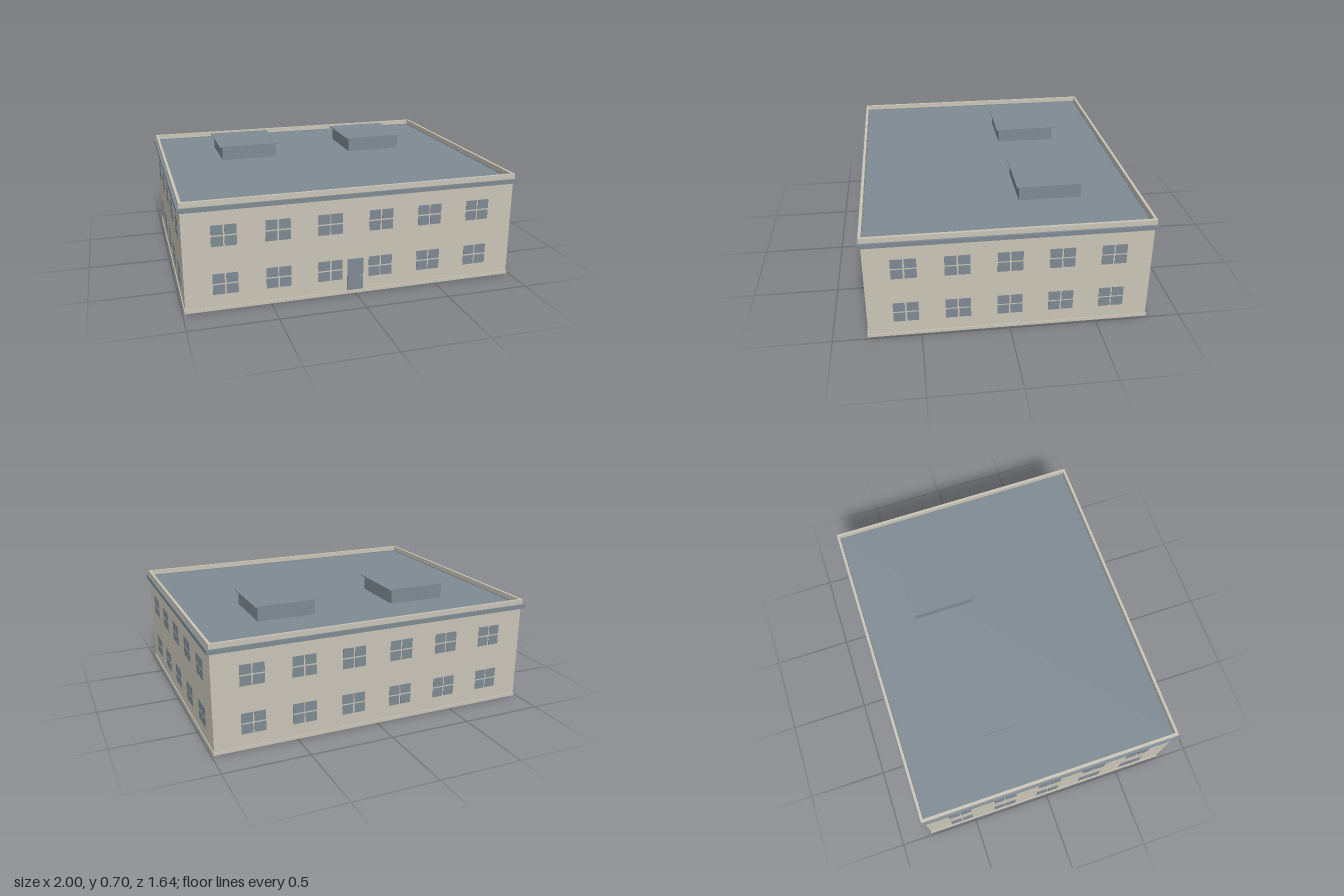
import * as THREE from 'three';

const wallMat = new THREE.MeshStandardMaterial({ name: 'beige wall', color: 0xcac5b7 });
const greyMat = new THREE.MeshStandardMaterial({ name: 'slate grey', color: 0x7f8a93 });

// Box given by its centre x and z, the height of its underside, and its size
function box(parent, name, mat, x, y, z, w, h, d) {
  const mesh = new THREE.Mesh(new THREE.BoxGeometry(w, h, d), mat);
  mesh.position.set(x, y + h / 2, z);
  mesh.name = name;
  parent.add(mesh);
  return mesh;
}

// Rectangular ring with outer half sizes (x, z) and thickness t
function ring(parent, name, mat, x, z, t, y, h) {
  const rect = (P, a, b) => new P().moveTo(-a, -b).lineTo(a, -b).lineTo(a, b).lineTo(-a, b).closePath();
  const shape = rect(THREE.Shape, x, z);
  shape.holes.push(rect(THREE.Path, x - t, z - t));
  const geo = new THREE.ExtrudeGeometry(shape, { depth: h, bevelEnabled: false });
  geo.rotateX(-Math.PI / 2);
  const mesh = new THREE.Mesh(geo, mat);
  mesh.position.y = y;
  mesh.name = name;
  parent.add(mesh);
}

// Four panes separated by a cross of bare wall
function addWindow(facade, x, y) {
  const win = new THREE.Group();
  win.name = 'window';
  const bar = 0.009, w = 0.142, h = 0.122;
  const pw = (w - bar) / 2, ph = (h - bar) / 2;
  for (const sx of [-1, 1]) {
    for (const sy of [0, 1]) {
      box(win, 'windowPane', greyMat, sx * (pw + bar) / 2, sy * (ph + bar), 0, pw, ph, 0.005);
    }
  }
  win.position.set(x, y, 0);
  facade.add(win);
}

// One wall face with two storeys of windows
function addFacade(parent, name, angle, distance, columns) {
  const facade = new THREE.Group();
  facade.name = name;
  for (const y of [0.095, 0.378]) {
    for (const x of columns) addWindow(facade, x, y);
  }
  facade.rotation.y = angle;
  facade.position.set(Math.sin(angle) * distance, 0, Math.cos(angle) * distance);
  parent.add(facade);
  return facade;
}

export function createModel() {
  const model = new THREE.Group();
  model.name = 'building';

  // Main block and roof
  box(model, 'walls', wallMat, 0, 0, 0, 1.966, 0.595, 1.6);
  box(model, 'plinth', wallMat, 0, 0, 0, 1.976, 0.018, 1.61);
  box(model, 'roofDeck', greyMat, 0, 0.59, 0, 1.95, 0.02, 1.6);
  ring(model, 'cornice', greyMat, 1, 0.82, 0.03, 0.588, 0.026);
  ring(model, 'parapet', wallMat, 0.987, 0.809, 0.016, 0.595, 0.049);

  // Windows on all four sides
  const long = [-0.755, -0.454, -0.151, 0.151, 0.451, 0.755];
  const short = [-0.583, -0.291, 0, 0.291, 0.583];
  const front = addFacade(model, 'frontFacade', 0, 0.801, long);
  addFacade(model, 'backFacade', Math.PI, 0.801, long);
  addFacade(model, 'leftFacade', Math.PI / 2, 0.984, short);
  addFacade(model, 'rightFacade', -Math.PI / 2, 0.984, short);

  // Entrance door
  box(front, 'door', greyMat, -0.002, 0.022, 0, 0.096, 0.193, 0.008);
  box(front, 'doorKnob', wallMat, 0.031, 0.105, 0.005, 0.008, 0.008, 0.008);

  // Rooftop units with overhanging lids
  for (const x of [-0.434, 0.43]) {
    const unit = new THREE.Group();
    unit.name = 'rooftopUnit';
    box(unit, 'unitBody', greyMat, 0, 0.605, 0, 0.355, 0.094, 0.37);
    box(unit, 'unitLid', greyMat, 0, 0.698, 0, 0.392, 0.006, 0.4);
    unit.position.set(x, 0, -0.288);
    model.add(unit);
  }
  return model;
}
